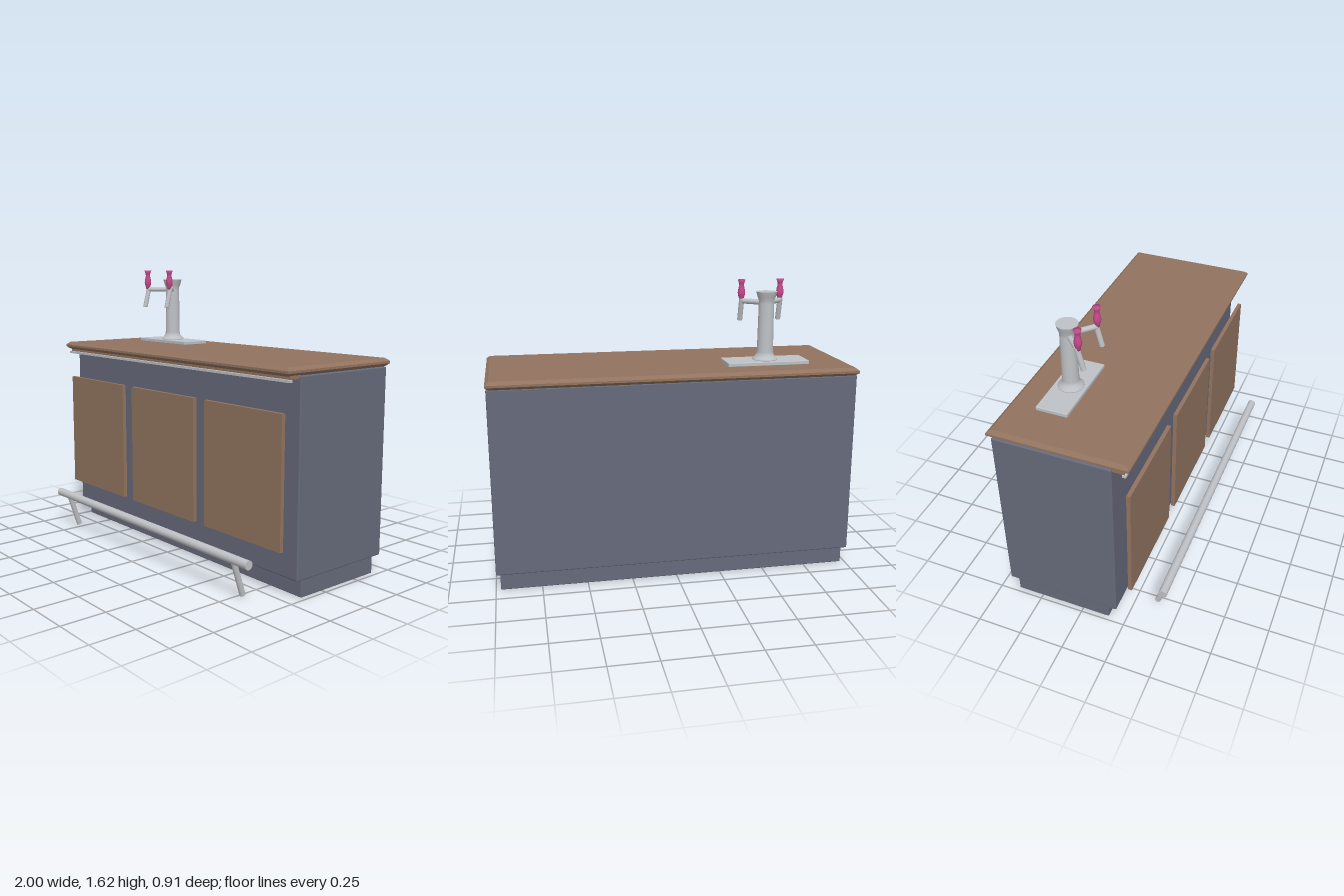
import * as THREE from 'three';
import { RoundedBoxGeometry } from 'three/addons/geometries/RoundedBoxGeometry.js';

const mat = (name, color, side = THREE.FrontSide) => {
  const m = new THREE.MeshStandardMaterial({ color, side });
  m.name = name;
  return m;
};

export function createModel() {
  const slate = mat('slate paint', 0x666a7a);
  const wood = mat('brown wood', 0x91735f);
  const metal = mat('brushed metal', 0xbec1c5);
  const pink = mat('pink handle', 0xc44a8b);

  const root = new THREE.Group();
  root.name = 'barCounter';

  const add = (parent, name, geometry, material) => {
    const m = new THREE.Mesh(geometry, material);
    m.name = name;
    parent.add(m);
    return m;
  };
  // Box given by its min and max corners, with optional softened edges
  const box = (name, a, b, material, r = 0) => {
    const s = b.map((v, i) => v - a[i]);
    const g = r ? new RoundedBoxGeometry(...s, 2, r) : new THREE.BoxGeometry(...s);
    const m = add(root, name, g, material);
    m.position.set(...a.map((v, i) => (v + b[i]) / 2));
    return m;
  };
  // Round bar between two points
  const bar = (parent, name, a, b, r, sides = 16, r2 = r) => {
    const p = new THREE.Vector3(...a), q = new THREE.Vector3(...b);
    const d = q.clone().sub(p);
    const m = add(parent, name, new THREE.CylinderGeometry(r2, r, d.length(), sides), metal);
    m.position.copy(p).add(q).multiplyScalar(0.5);
    m.quaternion.setFromUnitVectors(new THREE.Vector3(0, 1, 0), d.normalize());
    return m;
  };
  const lathe = (parent, name, pts, material, sides) =>
    add(parent, name, new THREE.LatheGeometry(pts.map(p => new THREE.Vector2(...p)), sides), material);

  // Cabinet and recessed plinth
  box('cabinet', [-0.996, 0.106, -0.432], [0.996, 1.125, 0.208], slate, 0.007);
  box('plinth', [-0.976, 0.004, -0.396], [0.974, 0.107, 0.154], slate, 0.005);

  // Worktop with chamfered edges
  const bevel = 0.02;
  const outline = new THREE.Shape();
  const hx = 1 - bevel, hz = 0.3775 - bevel;
  outline.moveTo(-hx, -hz).lineTo(hx, -hz).lineTo(hx, hz).lineTo(-hx, hz).closePath();
  const topGeo = new THREE.ExtrudeGeometry(outline, {
    depth: 0.012, bevelEnabled: true, bevelSegments: 1,
    bevelSize: bevel, bevelThickness: 0.016,
  });
  topGeo.rotateX(-Math.PI / 2);
  add(root, 'worktop', topGeo, wood).position.set(0, 1.141, -0.0775);
  box('frontMoulding', [-0.985, 1.11, 0.2], [0.985, 1.128, 0.27], wood);
  box('lightStrip', [-0.99, 1.096, 0.26], [0.99, 1.109, 0.28], metal);

  // Three front panels
  for (const x of [-0.669, -0.002, 0.664])
    box('frontPanel', [x - 0.287, 0.26, 0.264], [x + 0.287, 0.946, 0.286], wood);

  // Foot rail on slanted legs
  const rail = new THREE.Group();
  rail.name = 'footRail';
  root.add(rail);
  bar(rail, 'rail', [-0.89, 0.215, 0.433], [0.89, 0.215, 0.433], 0.024);
  for (const x of [-0.779, 0.776])
    bar(rail, 'railLeg', [x, 0.015, 0.368], [x, 0.21, 0.432], 0.016);

  // Tap tower on a drip plate
  box('dripPlate', [-0.766, 1.168, -0.3], [-0.304, 1.19, -0.125], metal, 0.004);
  const tower = new THREE.Group();
  tower.name = 'tapTower';
  tower.position.set(-0.535, 0, -0.212);
  root.add(tower);
  lathe(tower, 'towerColumn', [[0, 1.188], [0.07, 1.188], [0.07, 1.194], [0.06, 1.204],
    [0.049, 1.218], [0.045, 1.235], [0.042, 1.5], [0.042, 1.518], [0.049, 1.535], [0.058, 1.566]], metal, 32);
  const cap = add(tower, 'towerCap', new THREE.CircleGeometry(0.058, 32), metal);
  cap.rotation.x = -Math.PI / 2;
  cap.position.y = 1.566;

  // Mirrored taps: arm, spout and handle
  for (const s of [-1, 1]) {
    const tap = new THREE.Group();
    tap.name = s < 0 ? 'rightTap' : 'leftTap';
    tower.add(tap);
    const x = s * 0.112, z = 0.108;
    bar(tap, 'tapArm', [s * 0.02, 1.505, 0.02], [x, 1.505, z], 0.015);
    bar(tap, 'tapSpout', [x, 1.395, 0.133], [x, 1.517, 0.102], 0.0145);
    const handle = lathe(tap, 'tapHandle', [[0, 1.506], [0.011, 1.506], [0.013, 1.518], [0.019, 1.535],
      [0.021, 1.55], [0.018, 1.572], [0.013, 1.59], [0.015, 1.603], [0.022, 1.622], [0, 1.623]], pink, 16);
    handle.position.set(x, 0, z + 0.003);
  }
  return root;
}
